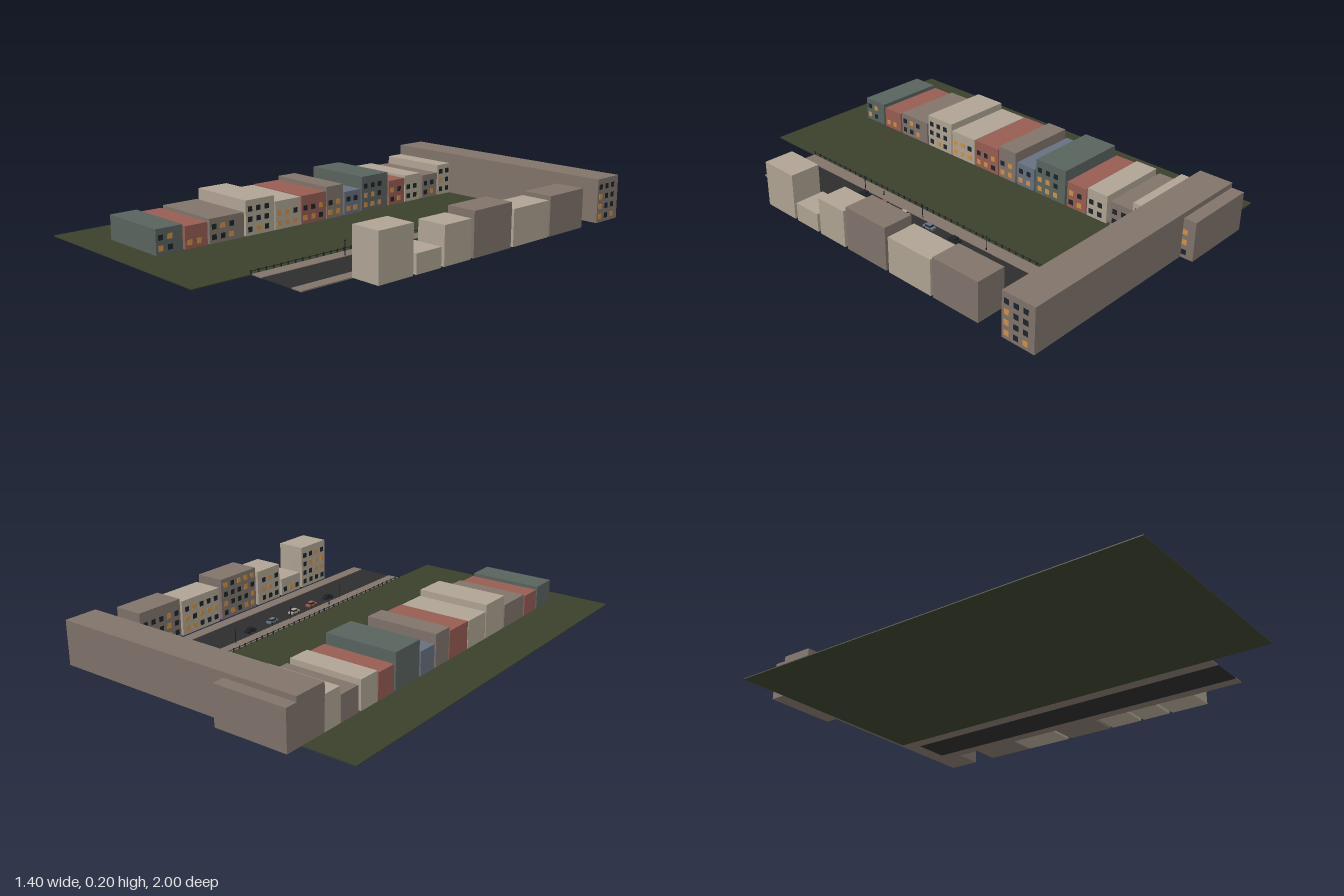
import * as THREE from 'three';

const mat = (name, color) => {
  const m = new THREE.MeshStandardMaterial({ color });
  m.name = name;
  return m;
};

export function createModel() {
  const root = new THREE.Group();
  root.name = 'streetBlock';
  const M = {
    grass: mat('grass green', 0x3b402b),
    brown: mat('brown stone', 0x80736a),
    beige: mat('beige stone', 0xaea393),
    red: mat('brick red', 0x965d53),
    teal: mat('grey teal', 0x59635e),
    blue: mat('slate blue', 0x657080),
    asphalt: mat('asphalt', 0x2d2d2e),
    dark: mat('dark metal and glass', 0x1e2328),
    lit: mat('lit window', 0xcf8f42),
  };

  let seed = 7;
  const rand = () => (seed = (seed * 16807) % 2147483647) / 2147483647;

  // Box given by its ranges on each axis
  function box(parent, name, m, x0, x1, y0, y1, z0, z1) {
    const mesh = new THREE.Mesh(new THREE.BoxGeometry(x1 - x0, y1 - y0, z1 - z0), m);
    mesh.position.set((x0 + x1) / 2, (y0 + y1) / 2, (z0 + z1) / 2);
    mesh.name = name;
    parent.add(mesh);
    return mesh;
  }

  function group(name) {
    const g = new THREE.Group();
    g.name = name;
    root.add(g);
    return g;
  }

  // Building with a grid of thin windows on the side facing the given x direction
  const BASE = 0.006, STEP = 0.043, HALF = 0.011;
  function building(name, color, x0, x1, z0, z1, h, facing) {
    const g = group(name);
    box(g, 'walls', M[color], x0, x1, BASE, h, z0, z1);
    const face = facing > 0 ? x1 : x0;
    for (let y = 0.032; y < h - 0.03; y += STEP) {
      for (let d = 0.022; d < z1 - z0 - 0.02; d += STEP) {
        const z = z1 - d;
        box(g, 'window', rand() < 0.45 ? M.lit : M.dark,
          face - 0.001, face + 0.001, y - HALF, y + HALF, z - HALF, z + HALF);
      }
    }
  }

  // Ground, road and pavements
  box(root, 'lawn', M.grass, -0.7, 0.285, 0, 0.004, -0.92, 1);
  box(root, 'road', M.asphalt, 0.343, 0.508, 0, 0.003, -0.86, 0.74);
  box(root, 'innerPavement', M.brown, 0.285, 0.343, 0, 0.005, -0.86, 0.74);
  box(root, 'outerPavement', M.brown, 0.508, 0.56, 0, 0.005, -0.86, 0.74);

  // Long building closing the back of the street
  building('backBuilding', 'brown', -0.473, 0.7, -0.945, -0.797, 0.197, 1);

  // Deep row on the lawn: colour, z range, height
  [
    ['brown', -1, -0.935, 0.175],
    ['beige', -0.8, -0.713, 0.15],
    ['brown', -0.708, -0.607, 0.115],
    ['beige', -0.59, -0.49, 0.13],
    ['red', -0.485, -0.385, 0.12],
    ['teal', -0.374, -0.215, 0.163],
    ['blue', -0.205, -0.109, 0.11],
    ['brown', -0.099, -0.003, 0.148],
    ['red', 0.002, 0.14, 0.13],
    ['beige', 0.145, 0.283, 0.128],
    ['beige', 0.288, 0.437, 0.156],
    ['brown', 0.447, 0.617, 0.11],
    ['red', 0.627, 0.733, 0.1],
    ['teal', 0.744, 0.866, 0.111],
  ].forEach(([c, z0, z1, h]) => building('terraceHouse', c, -0.473, -0.143, z0, z1, h, 1));

  // Shallow row across the road
  [
    ['brown', -0.687, -0.464, 0.175],
    ['beige', -0.453, -0.23, 0.16],
    ['brown', -0.215, 0.007, 0.191],
    ['beige', 0.023, 0.172, 0.165],
    ['beige', 0.188, 0.32, 0.086],
    ['beige', 0.336, 0.51, 0.203],
  ].forEach(([c, z0, z1, h]) => building('roadsideHouse', c, 0.567, 0.7, z0, z1, h, -1));

  // Railing between lawn and pavement
  const railing = group('railing');
  box(railing, 'topRail', M.dark, 0.279, 0.281, 0.013, 0.015, -0.8, 0.74);
  for (let i = 0; i <= 44; i++) {
    const z = -0.8 + i * 0.035;
    box(railing, 'post', M.dark, 0.278, 0.282, 0.004, 0.018, z - 0.002, z + 0.002);
  }

  // Street lamps
  for (const z of [-0.38, -0.025, 0.33]) {
    const lamp = group('streetLamp');
    const pole = new THREE.Mesh(new THREE.CylinderGeometry(0.0015, 0.002, 0.06, 8), M.dark);
    pole.position.set(0.334, 0.035, z);
    pole.name = 'pole';
    const head = new THREE.Mesh(new THREE.SphereGeometry(0.004, 10, 8), M.dark);
    head.position.set(0.334, 0.066, z);
    head.name = 'head';
    lamp.add(pole, head);
  }

  // Pedestrian
  const person = group('pedestrian');
  const body = new THREE.Mesh(new THREE.CylinderGeometry(0.002, 0.003, 0.014, 8), M.dark);
  body.position.set(0.318, 0.012, 0.23);
  body.name = 'body';
  const face = new THREE.Mesh(new THREE.SphereGeometry(0.0025, 8, 6), M.dark);
  face.position.set(0.318, 0.021, 0.23);
  face.name = 'head';
  person.add(body, face);

  // Parked cars
  const cars = [['dark', -0.247], ['blue', -0.104], ['beige', 0.045], ['red', 0.166], ['dark', 0.288]];
  const wheelGeo = new THREE.CylinderGeometry(0.004, 0.004, 0.003, 12).rotateZ(Math.PI / 2);
  for (const [c, z] of cars) {
    const car = group('car');
    car.position.set(0.373, 0.003, z);
    box(car, 'body', M[c], -0.012, 0.012, 0.003, 0.012, -0.027, 0.027);
    box(car, 'cabin', M.dark, -0.01, 0.01, 0.012, 0.019, -0.015, 0.013);
    box(car, 'roof', M[c], -0.01, 0.01, 0.019, 0.021, -0.014, 0.012);
    for (const sx of [-1, 1]) for (const sz of [-1, 1]) {
      const wheel = new THREE.Mesh(wheelGeo, M.dark);
      wheel.position.set(sx * 0.012, 0.004, sz * 0.016);
      wheel.name = 'wheel';
      car.add(wheel);
    }
  }
  return root;
}
